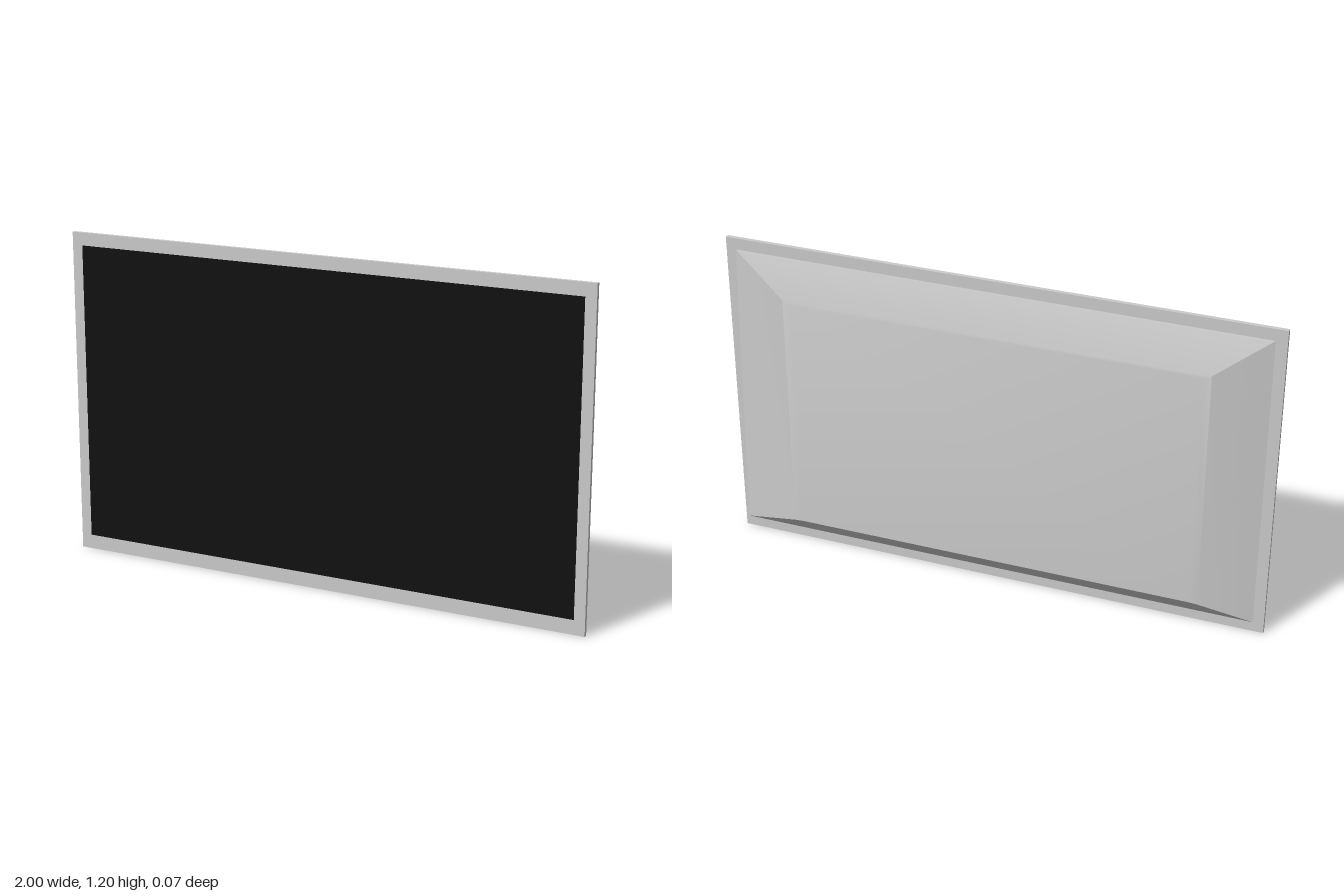
import * as THREE from 'three';
import { toCreasedNormals } from 'three/addons/utils/BufferGeometryUtils.js';

const rect = (x0, x1, y0, y1, Type = THREE.Shape) =>
  new Type([[x0, y0], [x1, y0], [x1, y1], [x0, y1]].map(p => new THREE.Vector2(...p)));

// Loft through four-cornered rings, closed by a flat cap on the last one
function loftRings(rings) {
  const positions = [];
  const quad = (a, b, c, d) => [a, b, c, a, c, d].forEach(p => positions.push(...p));
  for (let r = 0; r < rings.length - 1; r++) {
    const lower = rings[r], upper = rings[r + 1];
    for (let i = 0; i < 4; i++) {
      const j = (i + 1) % 4;
      quad(lower[i], lower[j], upper[j], upper[i]);
    }
  }
  quad(...rings[rings.length - 1]);
  const geometry = new THREE.BufferGeometry();
  geometry.setAttribute('position', new THREE.Float32BufferAttribute(positions, 3));
  return toCreasedNormals(geometry, 0.38);
}

export function createModel() {
  const group = new THREE.Group();
  const grey = new THREE.MeshStandardMaterial({ color: 0xcccccc });
  const black = new THREE.MeshStandardMaterial({ color: 0x111111 });
  const add = (name, geometry, material) => {
    const mesh = new THREE.Mesh(geometry, material);
    mesh.name = name;
    group.add(mesh);
    return mesh;
  };

  // Thin bezel around the screen
  const outline = rect(-1, 1, 0, 1.2);
  outline.holes.push(rect(-0.96, 0.96, 0.053, 1.153, THREE.Path));
  const bezel = new THREE.ExtrudeGeometry(outline, { depth: 0.015, bevelEnabled: false });
  add('bezel', bezel, grey).position.z = 0.02;

  // Dark screen, flush with the bezel
  add('screen', new THREE.BoxGeometry(1.92, 1.1, 0.014), black).position.set(0, 0.603, 0.028);

  // Sloped rear housing; corners run clockwise from the front: -x bottom, -x top, +x top, +x bottom
  const ring = (xl, xTop, xBottom, y0, y1, z) =>
    [[-xl, y0, z], [-xl, y1, z], [xTop, y1, z], [xBottom, y0, z]];
  add('rearHousing', loftRings([
    ring(0.96, 0.965, 0.99, 0.037, 1.157, 0.02),
    ring(0.77, 0.77, 0.77, 0.1, 1.016, -0.031),
    ring(0.74, 0.74, 0.74, 0.105, 1.005, -0.035),
  ]), grey);

  return group;
}
